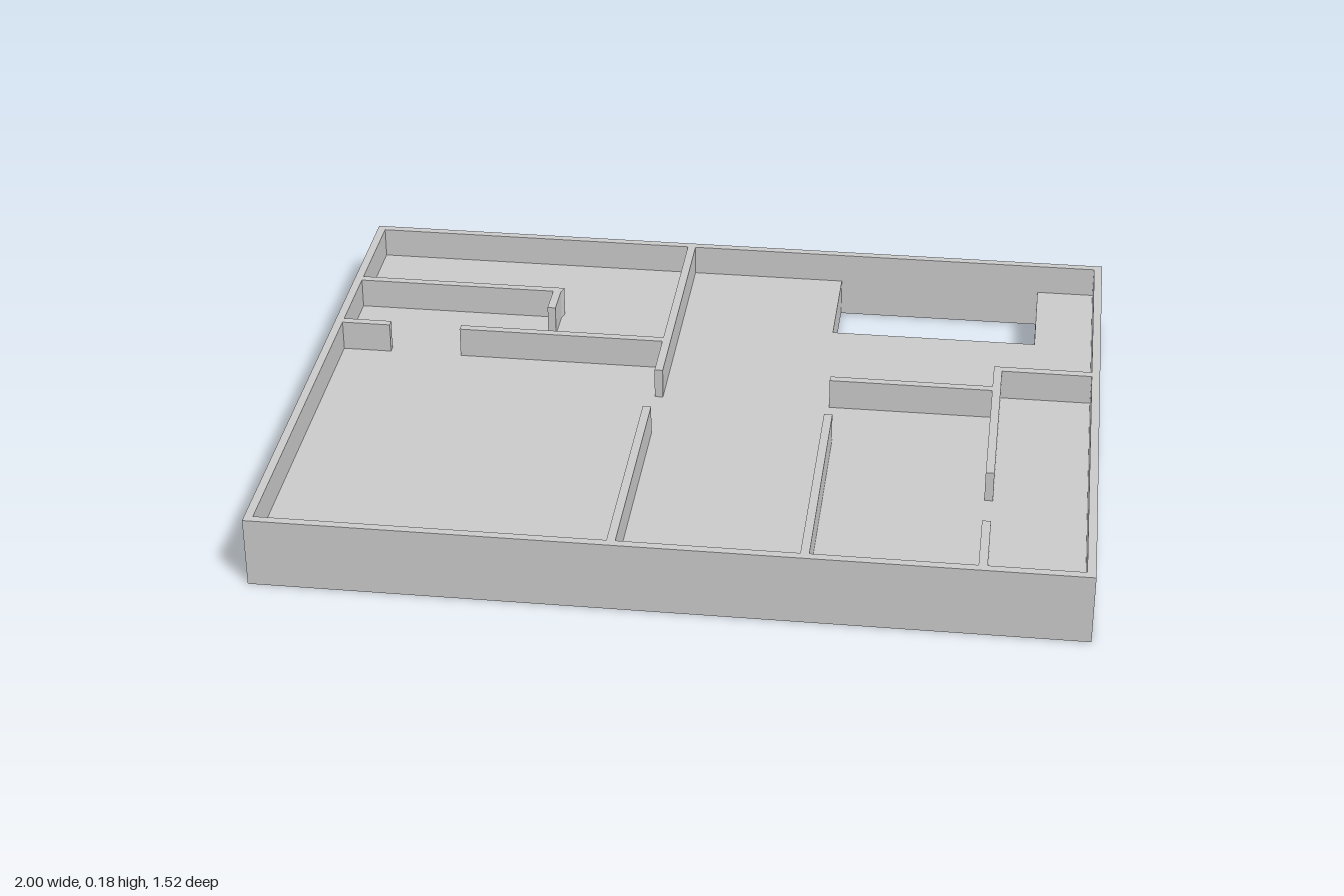
import * as THREE from 'three';

const FLOOR = 0.1;   // slab thickness
const TOP = 0.179;   // top of all walls
const X = 1, Z = 0.762;      // outer half sizes
const IX = 0.979, IZ = 0.741; // inner faces of the outer walls

const material = new THREE.MeshStandardMaterial({ color: 0xcccccc });

// Closed plan outline from [x, z] corners
const outline = (points, Type = THREE.Shape) =>
  new Type(points.map(([x, z]) => new THREE.Vector2(x, z)));

const rect = (x0, x1, z0, z1) => [[x0, z0], [x1, z0], [x1, z1], [x0, z1]];

// Raise a plan outline, with optional opening, between two heights
function raise(name, points, y0, y1, opening) {
  const shape = outline(points);
  if (opening) shape.holes.push(outline(opening, THREE.Path));
  const geometry = new THREE.ExtrudeGeometry(shape, { depth: y1 - y0, bevelEnabled: false });
  geometry.rotateX(Math.PI / 2).translate(0, y1, 0);
  const mesh = new THREE.Mesh(geometry, material);
  mesh.name = name;
  return mesh;
}

export function createModel() {
  const group = new THREE.Group();
  group.name = 'floorPlan';

  // Floor slab with stairwell opening against the back wall
  group.add(raise('floorSlab', rect(-X, X, -Z, Z), 0, FLOOR, rect(0.295, 0.83, -IZ, -0.45)));

  // Outer wall ring
  group.add(raise('outerWalls', rect(-X, X, -Z, Z), FLOOR, TOP, rect(-IX, IX, -IZ, IZ)));

  // Interior partitions, as plan outlines
  const partitions = {
    backCentreWall: rect(-0.131, -0.11, -IZ, -0.059),
    frontCentreWall: rect(-0.136, -0.115, 0.123, IZ),
    frontLeftWall: rect(0.318, 0.339, 0.107, IZ),
    closetFrontWall: rect(0.73, 0.751, 0.551, IZ),
    // L-shaped wall with a slightly slanted corner
    backRoomWall: [[-IX, -0.465], [-0.43, -0.465], [-0.436, -0.444], [-0.436, -0.353],
      [-0.457, -0.353], [-0.457, -0.444], [-IX, -0.444]],
    doorStub: rect(-IX, -0.853, -0.23, -0.209),
    doorWall: rect(-0.666, -0.131, -0.23, -0.209),
    // Branching wall joining the left outer wall
    closetWall: [[0.73, -0.182], [IX, -0.182], [IX, -0.16], [0.751, -0.16], [0.751, 0.337],
      [0.73, 0.337], [0.73, -0.059], [0.318, -0.059], [0.318, -0.08], [0.73, -0.08]],
  };
  for (const [name, points] of Object.entries(partitions)) {
    group.add(raise(name, points, FLOOR, TOP));
  }
  return group;
}
